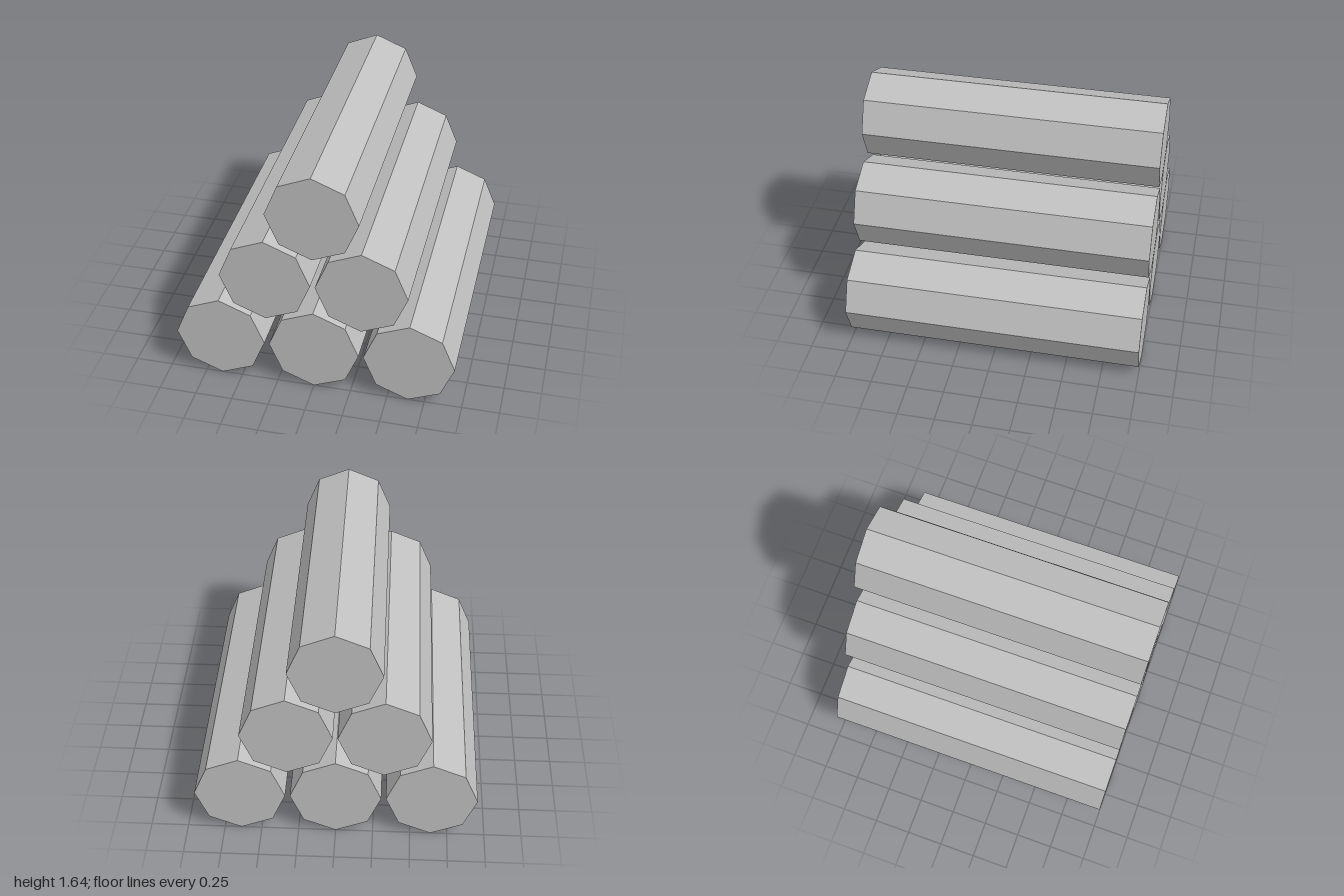
import * as THREE from 'three';

const RADIUS = 0.303, LENGTH = 2, STEP_X = 0.638, STEP_Y = 0.518;

export function createModel() {
  const group = new THREE.Group();
  group.name = 'logPile';

  const grey = new THREE.MeshStandardMaterial({ color: 0xc0c0c0 });
  grey.name = 'grey';

  // Octagonal log lying along z, with a corner pointing straight up
  const geometry = new THREE.CylinderGeometry(RADIUS, RADIUS, LENGTH, 8).toNonIndexed();
  geometry.rotateX(Math.PI / 2);
  geometry.computeVertexNormals();

  // Pyramid stack: three, two, then one log
  for (let row = 0; row < 3; row++) {
    const count = 3 - row;
    for (let i = 0; i < count; i++) {
      const log = new THREE.Mesh(geometry, grey);
      log.name = `logRow${row + 1}Number${i + 1}`;
      log.position.set((i - (count - 1) / 2) * STEP_X, RADIUS + row * STEP_Y, 0);
      group.add(log);
    }
  }
  return group;
}
